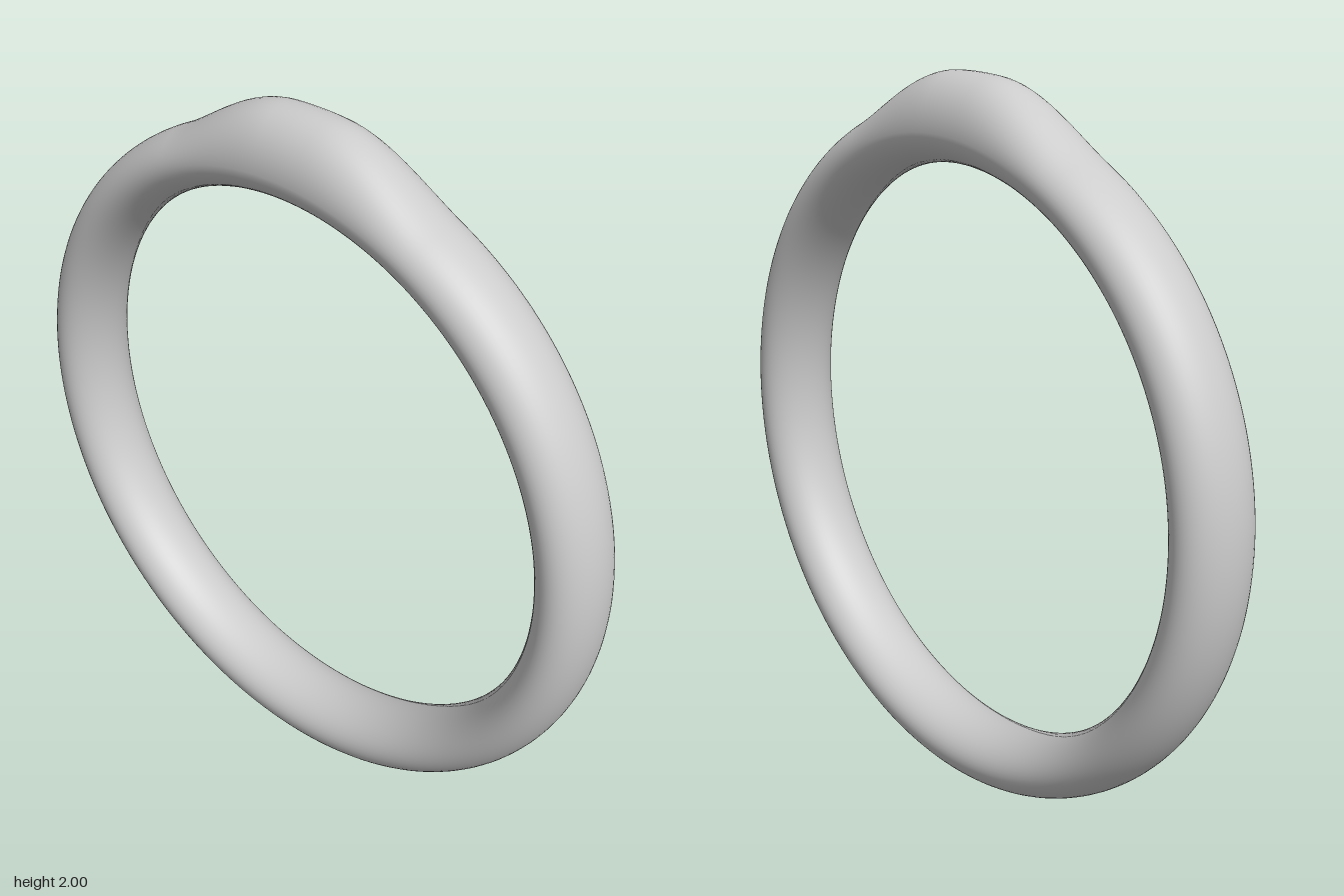
import * as THREE from 'three';

const CENTRE_Y = 0.966, INNER = 0.797, OUTER = 0.966, HALF_WIDTH = 0.118;

// 1 at the crown of the band, easing to 0 at the shoulders
const swell = (angle) => 1 - THREE.MathUtils.smoothstep(Math.abs(angle), 0.08, 0.46);

export function createModel() {
  const group = new THREE.Group();
  const around = 256, section = 48;

  // Torus reshaped: oval cross-section, raised and slightly widened at the crown
  const geometry = new THREE.TorusGeometry(1, 0.5, section, around);
  const pos = geometry.attributes.position;
  const normal = geometry.attributes.normal;
  const point = (u, v, target) => {
    const angle = Math.atan2(Math.cos(u), Math.sin(u)); // measured from the top
    const s = swell(angle);
    const mid = (INNER + OUTER) / 2 + 0.005 * s;
    const outer = OUTER + 0.068 * s;
    const c = Math.cos(v);
    const r = mid + c * (c > 0 ? outer - mid : mid - INNER);
    return target.set(r * Math.cos(u), CENTRE_Y + r * Math.sin(u), (HALF_WIDTH + 0.004 * s) * Math.sin(v));
  };

  // Smooth normals come from the surface tangents, so no seam shows
  const p = new THREE.Vector3(), a = new THREE.Vector3(), b = new THREE.Vector3();
  const du = new THREE.Vector3(), dv = new THREE.Vector3(), e = 1e-3;
  for (let j = 0, k = 0; j <= section; j++) {
    for (let i = 0; i <= around; i++, k++) {
      const u = (i / around) * Math.PI * 2, v = (j / section) * Math.PI * 2;
      point(u, v, p);
      du.subVectors(point(u + e, v, a), point(u - e, v, b));
      dv.subVectors(point(u, v + e, a), point(u, v - e, b));
      du.cross(dv).normalize();
      pos.setXYZ(k, p.x, p.y, p.z);
      normal.setXYZ(k, du.x, du.y, du.z);
    }
  }

  const band = new THREE.Mesh(geometry, new THREE.MeshStandardMaterial({ color: 0xcccccc }));
  band.name = 'ringBand';
  group.add(band);
  return group;
}
